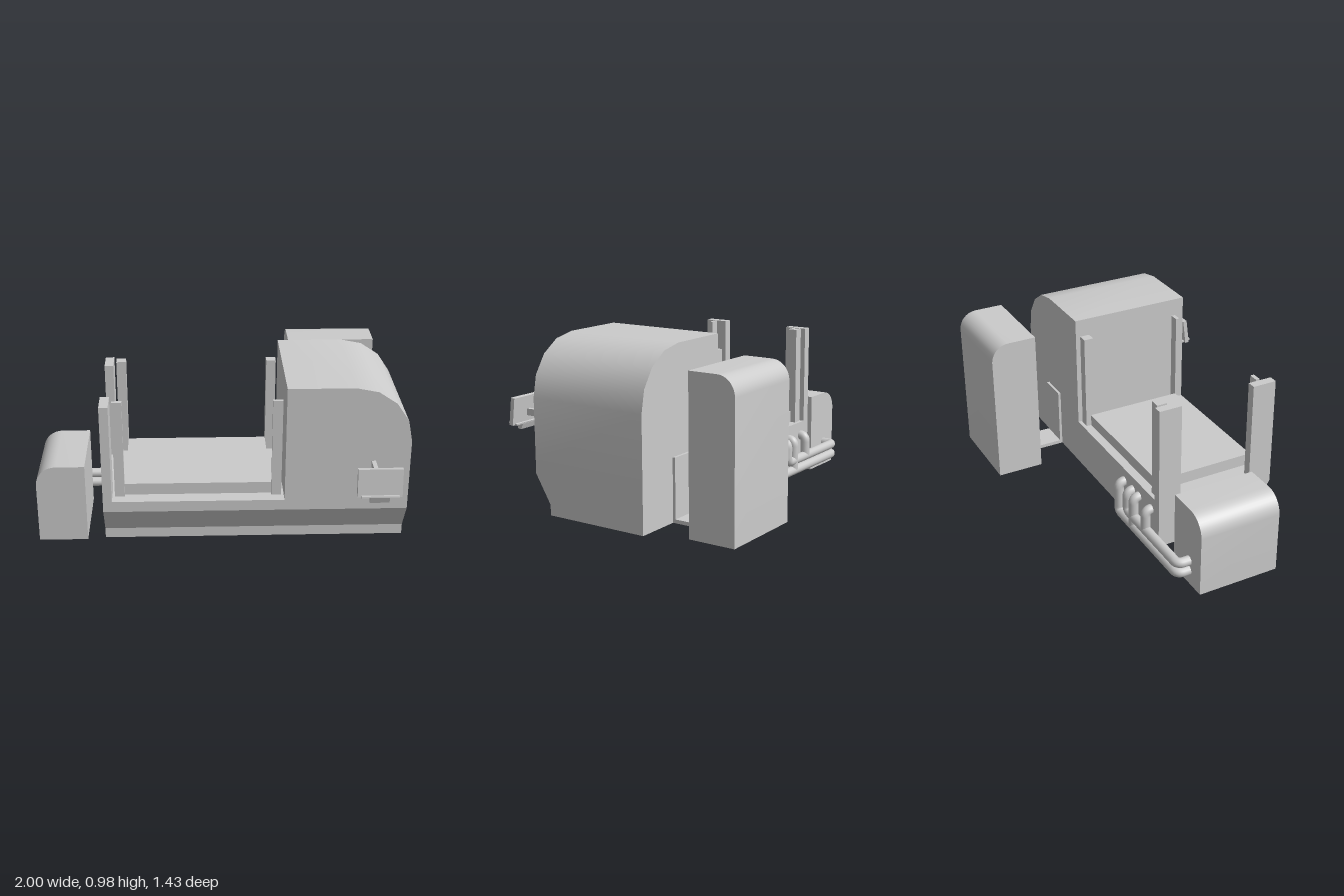
import * as THREE from 'three';
import { toCreasedNormals } from 'three/addons/utils/BufferGeometryUtils.js';

const material = new THREE.MeshStandardMaterial({ color: 0xcccccc });

export function createModel() {
  const model = new THREE.Group();

  function add(name, geometry, parent = model) {
    const mesh = new THREE.Mesh(geometry, material);
    mesh.name = name;
    parent.add(mesh);
    return mesh;
  }

  // Box given by its extents on each axis
  function box(name, [x0, x1], [y0, y1], [z0, z1]) {
    const g = new THREE.BoxGeometry(x1 - x0, y1 - y0, z1 - z0);
    g.translate((x0 + x1) / 2, (y0 + y1) / 2, (z0 + z1) / 2);
    return add(name, g);
  }

  function extrude(points, depth) {
    const shape = new THREE.Shape(points.map(([a, b]) => new THREE.Vector2(a, b)));
    return new THREE.ExtrudeGeometry(shape, { depth, bevelEnabled: false });
  }

  // Profile in x,y swept along z
  function prismZ(name, points, z0, z1) {
    return add(name, toCreasedNormals(extrude(points, z1 - z0).translate(0, 0, z0), 0.5));
  }

  // Profile in z,y swept along x
  function prismX(name, points, x0, x1) {
    const g = extrude(points.map(([z, y]) => [-z, y]), x1 - x0);
    return add(name, toCreasedNormals(g.rotateY(Math.PI / 2).translate(x0, 0, 0), 0.5));
  }

  // Upright outline with one rounded upper corner on the "round" side
  function roundedProfile(flat, round, y0, y1, r, segments) {
    const s = Math.sign(round - flat);
    const points = [[flat, y0], [flat, y1]];
    for (let i = 0; i <= segments; i++) {
      const a = (Math.PI / 2) * (1 - i / segments);
      points.push([round - s * r + s * r * Math.cos(a), y1 - r + r * Math.sin(a)]);
    }
    points.push([round, y0]);
    return points;
  }

  // Main housing: bevelled base and rounded tower
  prismX('base', [[-0.24, 0.07], [0.355, 0.07], [0.355, 0.127], [0.447, 0.28],
    [0.447, 0.34], [-0.24, 0.34]], -0.625, 1);
  prismZ('tower', roundedProfile(0.342, 1, 0.34, 0.983, 0.305, 4), -0.24, 0.447);

  // Work table and its guide posts
  box('table', [-0.51, 0.275], [0.34, 0.405], [-0.19, 0.365]);
  for (const [x0, x1] of [[-0.563, -0.51], [0.275, 0.328]]) {
    box('rearGuidePost', [x0, x1], [0.34, 0.89], [-0.22, -0.165]);
    box('frontGuidePost', [x0, x1], [0.34, 0.89], [0.365, 0.387]);
  }
  for (const z of [[-0.24, -0.112], [0.312, 0.447]]) {
    box('cornerPost', [-0.625, -0.577], [0.34, 0.89], z);
  }

  // Side tank and rear cabinet
  prismZ('sideTank', roundedProfile(-0.732, -1, 0, 0.452, 0.11, 10), -0.207, 0.255);
  prismX('rearCabinet', roundedProfile(-0.453, -0.714, 0.07, 0.9, 0.1, 10), 0.42, 0.915);

  // Duct joining the cabinet to the housing
  box('ductFloor', [0.587, 0.75], [0.07, 0.09], [-0.43, -0.255]);
  box('ductHousingPlate', [0.587, 0.75], [0.07, 0.412], [-0.255, -0.24]);
  box('ductCabinetPlate', [0.587, 0.75], [0.07, 0.525], [-0.453, -0.43]);

  // Pipe with straight runs and rounded bends
  function pipe(name, corners, bend = 0.035) {
    const p = corners.map((c) => new THREE.Vector3(...c));
    const path = new THREE.CurvePath();
    let from = p[0];
    for (let i = 1; i < p.length - 1; i++) {
      const toward = (q) => p[i].clone().add(q.clone().sub(p[i]).setLength(bend));
      const a = toward(p[i - 1]);
      const b = toward(p[i + 1]);
      if (from.distanceTo(a) > 1e-4) path.add(new THREE.LineCurve3(from, a));
      path.add(new THREE.QuadraticBezierCurve3(a, p[i], b));
      from = b;
    }
    path.add(new THREE.LineCurve3(from, p[p.length - 1]));
    add(name, new THREE.TubeGeometry(path, 140, 0.027, 14, false));
  }

  const pz = -0.274;
  for (const [y, endX, branchX] of [[0.082, -0.235, -0.405], [0.142, -0.335, -0.54]]) {
    pipe('mainPipe', [[-0.885, y, -0.18], [-0.885, y, pz], [endX, y, pz],
      [endX, 0.262, pz], [endX, 0.262, -0.22]]);
    pipe('branchPipe', [[branchX, y, pz], [branchX, 0.262, pz], [branchX, 0.262, -0.22]]);
  }

  // Control screen on its arm
  box('armInner', [0.795, 0.817], [0.533, 0.567], [0.44, 0.535]);
  box('armOuter', [0.795, 0.817], [0.525, 0.562], [0.535, 0.668]);
  const screen = add('screen', new THREE.BoxGeometry(0.23, 0.15, 0.024));
  screen.position.set(0.805, 0.561, 0.678);
  screen.rotation.x = -0.12;
  const shelf = add('screenShelf', new THREE.BoxGeometry(0.195, 0.008, 0.055));
  shelf.position.set(0.806, 0.493, 0.69);
  shelf.rotation.x = -0.15;
  prismX('screenBracket', [[0.662, 0.49], [0.676, 0.455], [0.698, 0.455], [0.71, 0.494]],
    0.755, 0.855);

  return model;
}
